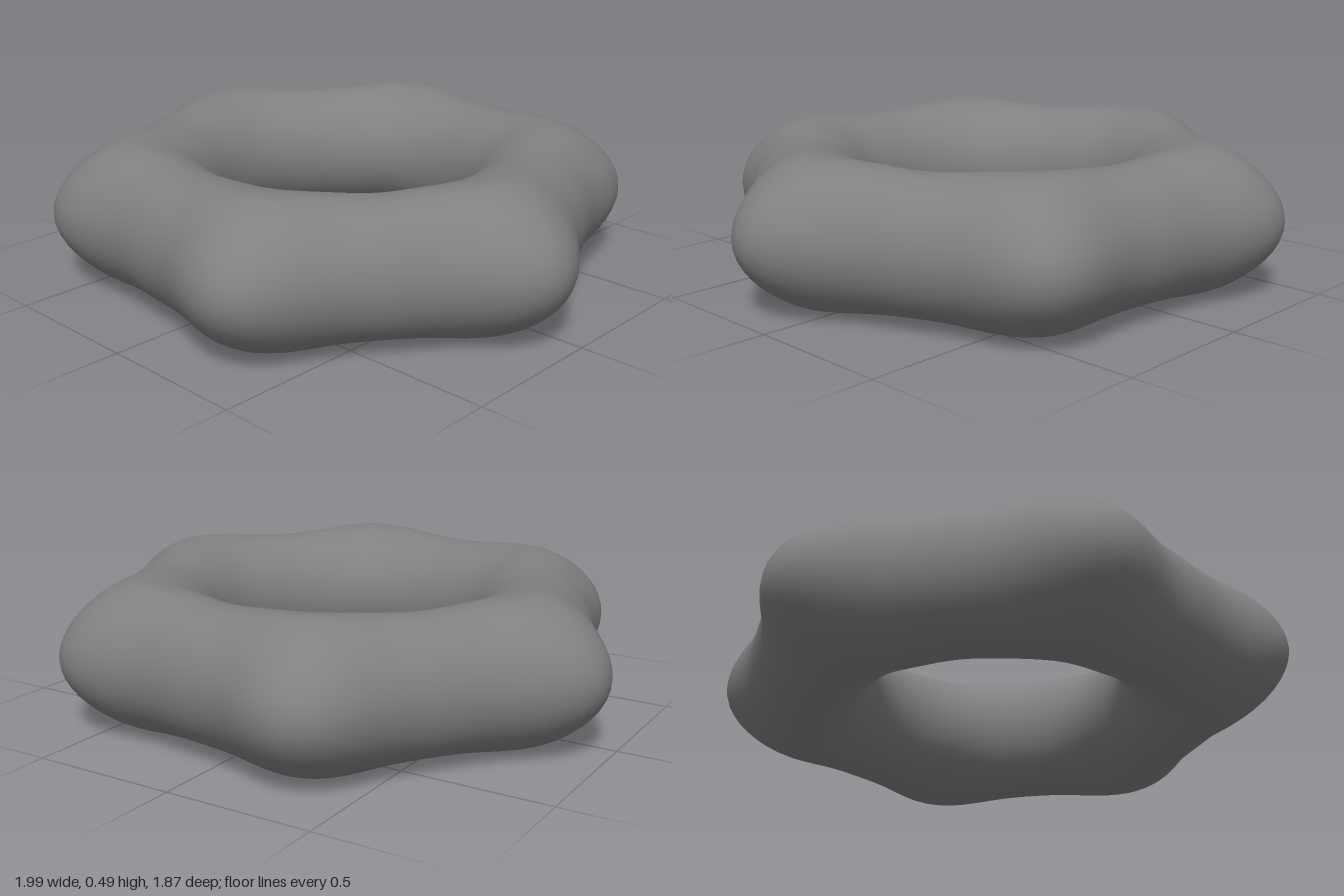
import * as THREE from 'three';
import { mergeVertices } from 'three/addons/utils/BufferGeometryUtils.js';

const LOBES = 6;
const PHASE = THREE.MathUtils.degToRad(7); // direction of the first lobe
const HOLE = 0.43;                         // round hole radius
const MID_Y = 0.254;

// Ring with a round hole whose section swells into six lobes
function lobedRing() {
  let geo = new THREE.TorusGeometry(2, 1, 48, 240);
  geo.rotateX(Math.PI / 2);
  geo.deleteAttribute('uv');
  geo.deleteAttribute('normal');
  geo = mergeVertices(geo, 1e-4);

  const pos = geo.attributes.position;
  for (let i = 0; i < pos.count; i++) {
    const x = pos.getX(i), z = pos.getZ(i);
    const angle = Math.atan2(z, x);
    const up = pos.getY(i);
    let across = Math.hypot(x, z) - 2; // -1 at the hole, 1 at the rim
    const turn = LOBES * (angle - PHASE);
    const wave = Math.cos(turn);

    // Narrow lobes with wide, nearly straight stretches between them
    const outer = 0.912 + 0.075 * wave + 0.014 * Math.cos(2 * turn);
    const halfHeight = 0.236 + 0.01 * wave;
    // The rim tapers a little towards each lobe tip
    if (across > 0) across *= 1 - 0.12 * (1 + wave) * up * up;

    const radius = (outer + HOLE) / 2 + across * (outer - HOLE) / 2;
    pos.setXYZ(i, radius * Math.cos(angle), MID_Y + up * halfHeight, radius * Math.sin(angle));
  }
  geo.computeVertexNormals();
  return geo;
}

export function createModel() {
  const group = new THREE.Group();
  group.name = 'lobedRing';
  const ring = new THREE.Mesh(lobedRing(), new THREE.MeshStandardMaterial({ color: 0x808080 }));
  ring.name = 'ringBody';
  group.add(ring);
  return group;
}
